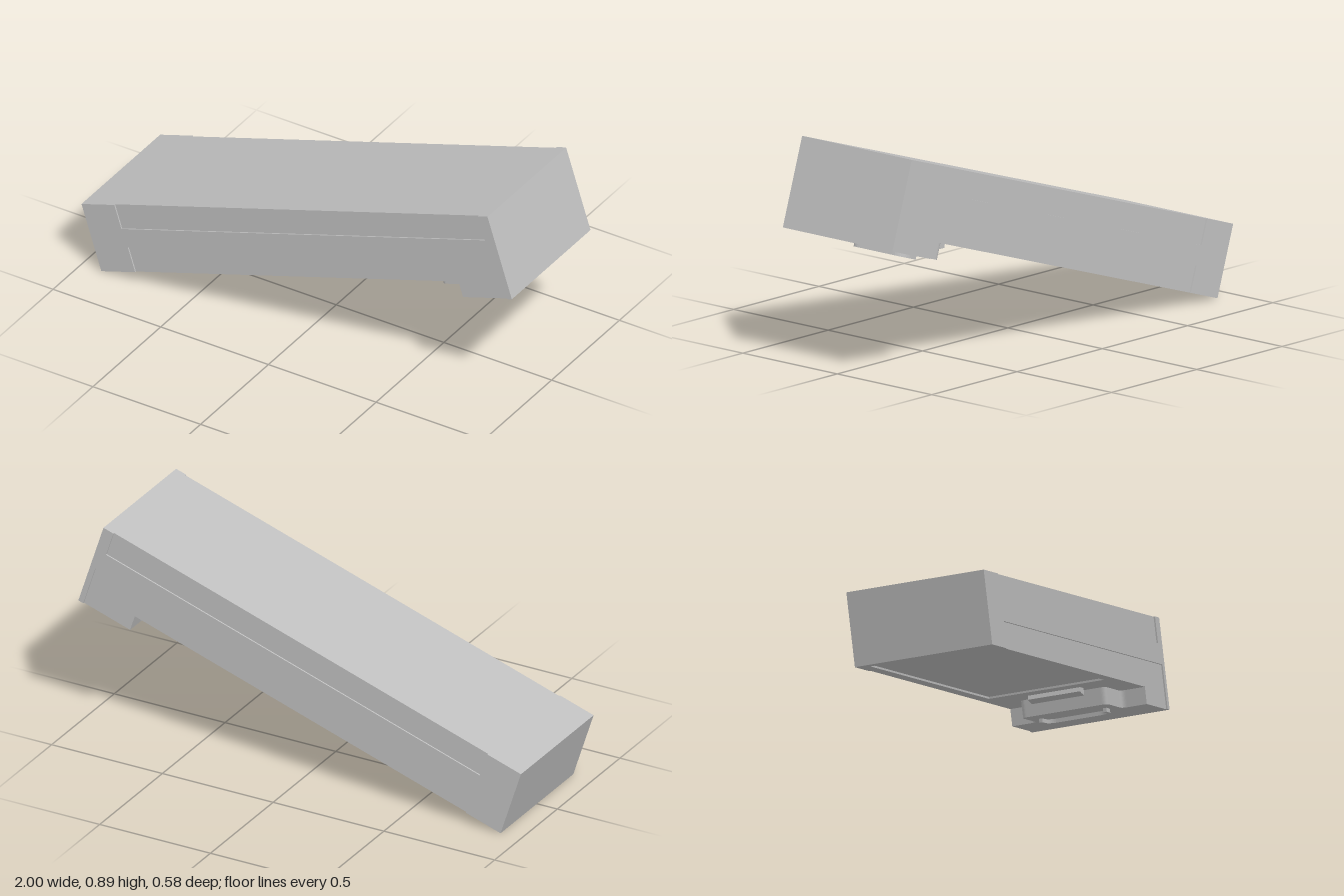
import * as THREE from 'three';

// Working space: x runs along the sloped top, y = -depth below the top face.
const LENGTH = 1.981, DEPTH = 0.299, LIP_DEPTH = 0.368;
const HALF = 0.29, CORE = 0.284, PANEL = 0.008;

const polygon = (pts) => new THREE.Shape(pts.map(([x, y]) => new THREE.Vector2(x, y)));

// Extrude a plan outline (x, z) downwards between two depths.
function plate(shape, from, to) {
  const g = new THREE.ExtrudeGeometry(shape, { depth: to - from, bevelEnabled: false, curveSegments: 8 });
  return g.rotateX(Math.PI / 2).translate(0, -from, 0);
}

const rect = (x0, x1, z) => [[x0, -z], [x1, -z], [x1, z], [x0, z]];

export function createModel() {
  const grey = new THREE.MeshStandardMaterial({ color: 0xbfbfbf });
  grey.name = 'light grey';

  const model = new THREE.Group();
  model.name = 'slopedHousing';
  const tilted = new THREE.Group();
  tilted.name = 'tiltedBody';
  tilted.rotation.z = Math.atan2(0.61, 1.885);
  tilted.position.set(-1, 0.285, 0);
  model.add(tilted);

  const add = (name, geometry) => {
    const mesh = new THREE.Mesh(geometry, grey);
    mesh.name = name;
    tilted.add(mesh);
    return mesh;
  };

  // Main slab
  add('core', plate(polygon(rect(0, LENGTH, CORE)), 0, DEPTH - PANEL));

  // Border around the shallow recessed panel underneath
  const border = polygon(rect(0, LENGTH, CORE));
  border.holes.push(polygon(rect(0.047, 1.387, 0.242)));
  add('undersideBorder', plate(border, DEPTH - PANEL, DEPTH));

  // Raised side frames: two end blocks joined by a long rib
  const frame = polygon([
    [0, 0], [0.16, 0], [0.16, -0.107], [1.934, -0.107], [1.934, 0], [LENGTH, 0],
    [LENGTH, -LIP_DEPTH], [1.958, -LIP_DEPTH], [1.958, -0.19], [0.165, -0.19],
    [0.165, -DEPTH], [0, -DEPTH],
  ]);
  for (const [name, z] of [['frontSideFrame', CORE], ['backSideFrame', -HALF]]) {
    const g = new THREE.ExtrudeGeometry(frame, { depth: HALF - CORE, bevelEnabled: false });
    add(name, g.translate(0, 0, z));
  }

  // Deep lip at the high end with a rounded tongue in the middle
  const lip = new THREE.Shape();
  const edge = 1.739, tip = 1.567, w = 0.18, r = 0.022;
  lip.moveTo(LENGTH, -CORE);
  lip.lineTo(LENGTH, CORE);
  lip.lineTo(edge, CORE);
  lip.lineTo(edge, w + r);
  lip.quadraticCurveTo(edge, w, edge - r, w);
  lip.lineTo(tip + r, w);
  lip.quadraticCurveTo(tip, w, tip, w - r);
  lip.lineTo(tip, -w + r);
  lip.quadraticCurveTo(tip, -w, tip + r, -w);
  lip.lineTo(edge - r, -w);
  lip.quadraticCurveTo(edge, -w, edge, -w - r);
  lip.lineTo(edge, -CORE);
  add('lipAndTongue', plate(lip, DEPTH, LIP_DEPTH));

  // Arched grip ridge under the tongue
  const grip = new THREE.Shape();
  const foot = 1.66, top = 1.742, gz = 0.142, t = 0.014, round = 0.055;
  grip.moveTo(foot, gz);
  grip.lineTo(top - round, gz);
  grip.quadraticCurveTo(top, gz, top, gz - round);
  grip.lineTo(top, -gz + round);
  grip.quadraticCurveTo(top, -gz, top - round, -gz);
  grip.lineTo(foot, -gz);
  grip.lineTo(foot, -gz + t);
  grip.lineTo(top - round, -gz + t);
  grip.quadraticCurveTo(top - t, -gz + t, top - t, -gz + round);
  grip.lineTo(top - t, gz - round);
  grip.quadraticCurveTo(top - t, gz - t, top - round, gz - t);
  grip.lineTo(foot, gz - t);
  add('gripRidge', plate(grip, LIP_DEPTH, LIP_DEPTH + 0.016));

  // Small catch bar ahead of the tongue
  const bar = polygon([
    [1.472, -DEPTH + 0.004], [1.466, -DEPTH - 0.017], [1.476, -DEPTH - 0.021],
    [1.508, -DEPTH - 0.03], [1.514, -DEPTH + 0.004],
  ]);
  const barGeometry = new THREE.ExtrudeGeometry(bar, { depth: 0.22, bevelEnabled: false });
  add('catchBar', barGeometry.translate(0, 0, -0.11));

  return model;
}
